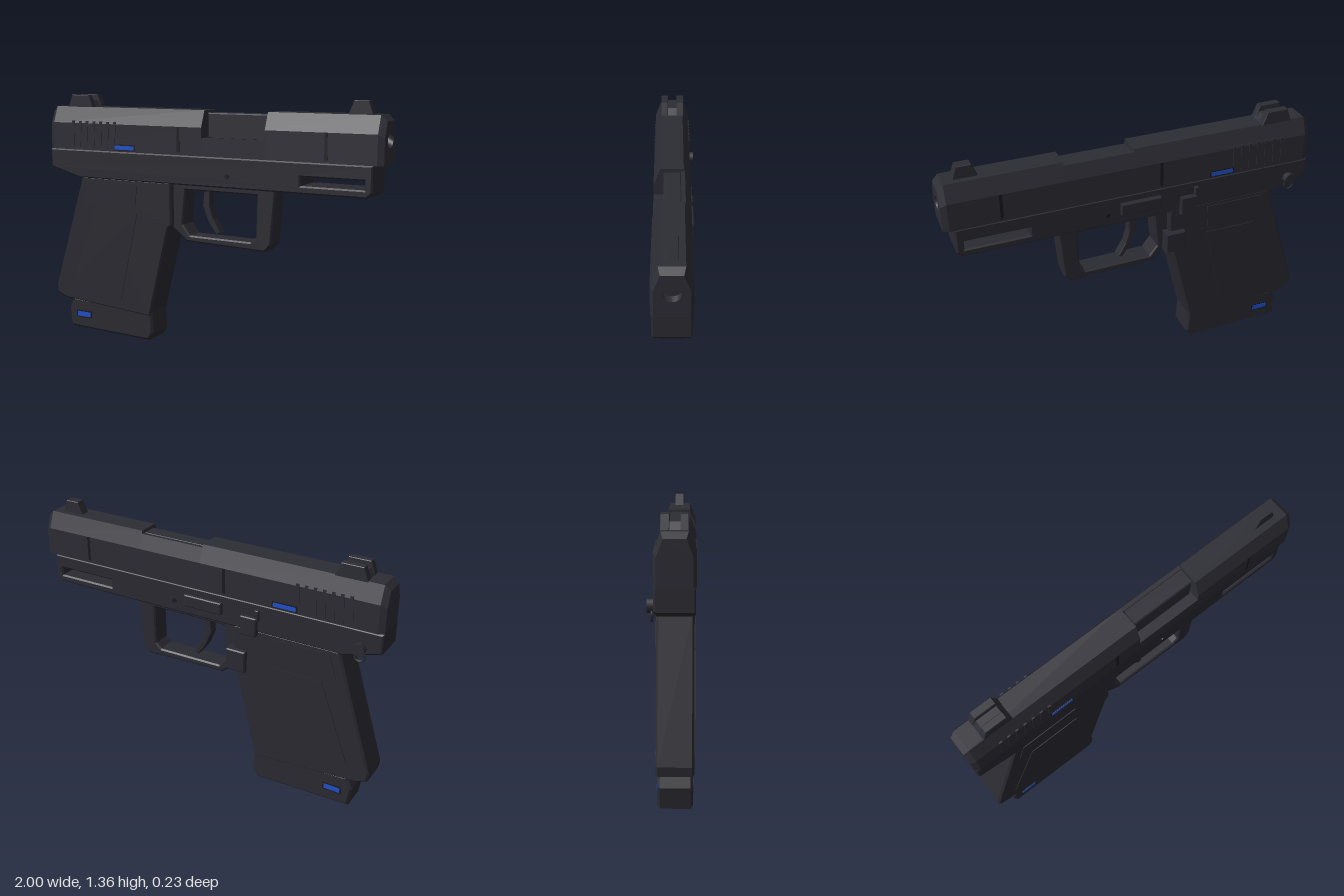
import * as THREE from 'three';

const mat = (name, color) => {
  const m = new THREE.MeshStandardMaterial({ color });
  m.name = name;
  return m;
};

export function createModel() {
  const root = new THREE.Group();
  root.name = 'pistol';
  const slideMat = mat('slide charcoal', 0x2c2c34);
  const frameMat = mat('frame charcoal', 0x2a2a31);
  const darkMat = mat('groove black', 0x1a1a1f);
  const blueMat = mat('accent blue', 0x2050c8);
  const ZC = 0.0125; // middle plane of the body

  const toShape = (pts) => new THREE.Shape(pts.map(([x, y]) => new THREE.Vector2(x, y)));
  const add = (name, geo, material) => {
    const mesh = new THREE.Mesh(geo, material);
    mesh.name = name;
    root.add(mesh);
    return mesh;
  };

  // Side outline (x, y) given thickness from z0 to z1, with chamfered rims
  function plate(name, pts, z0, z1, material, bevel = 0, hole = null) {
    const shape = toShape(pts);
    if (hole) shape.holes.push(toShape(hole));
    const geo = new THREE.ExtrudeGeometry(shape, {
      depth: z1 - z0 - 2 * bevel, bevelEnabled: bevel > 0, bevelSize: bevel,
      bevelThickness: bevel, bevelOffset: -bevel, bevelSegments: 1,
    });
    geo.translate(0, 0, z0 + bevel);
    return add(name, geo, material);
  }
  const rect = (x0, x1, y0, y1, slant = 0) =>
    [[x0, y0], [x1, y0], [x1 + slant, y1], [x0 + slant, y1]];

  // Thin detail on both flanks of a body with the given half width
  function flanks(name, pts, half, material, out = 0.004) {
    plate(name + 'Left', pts, ZC + half - 0.004, ZC + half + out, material);
    plate(name + 'Right', pts, ZC - half - out, ZC - half + 0.004, material);
  }

  // Cross-section (z from the middle plane, y) run along x; the end at taperX is drawn in
  function prism(name, pts, x0, x1, taperX = null, hole = null) {
    const shape = toShape(pts.map(([z, y]) => [-z, y]));
    if (hole) shape.holes.push(hole);
    const geo = new THREE.ExtrudeGeometry(shape, { depth: x1 - x0, bevelEnabled: false, curveSegments: 20 });
    geo.rotateY(Math.PI / 2).translate(x0, 0, 0);
    if (taperX !== null) {
      const p = geo.attributes.position;
      for (let i = 0; i < p.count; i++) {
        if (Math.abs(p.getX(i) - taperX) > 1e-4) continue;
        p.setY(i, 1.06 + (p.getY(i) - 1.06) * 0.88);
        p.setZ(i, p.getZ(i) * 0.85);
      }
      geo.computeVertexNormals();
    }
    geo.translate(0, 0, ZC);
    return add(name, geo, slideMat);
  }

  // Slide: sloped shoulders, chamfered ends, open ejection port, muzzle bore
  const full = [[-0.0955, 1.06], [-0.0955, 1.21], [-0.06, 1.3], [0.06, 1.3], [0.0955, 1.21], [0.0955, 1.06]];
  const port = [[-0.0955, 1.06], [-0.0955, 1.21], [-0.066, 1.285], [-0.045, 1.285],
    [-0.045, 1.155], [0.0955, 1.155], [0.0955, 1.06]];
  const bore = new THREE.Path().absellipse(0, 1.193, 0.048, 0.041, 0, Math.PI * 2);
  prism('slideRearEnd', full, -1, -0.97, -1);
  prism('slideRear', full, -0.97, 0.005);
  prism('slidePort', port, 0.005, 0.375);
  prism('slideFront', full, 0.375, 0.97);
  prism('muzzle', full, 0.97, 1, 1, bore);
  plate('barrelChamber', rect(0.015, 0.37, 1.15, 1.286), -0.034, 0.055, slideMat, 0.006);

  // Slide serrations, panel lines and blue inlays
  for (let i = 0; i < 7; i++) {
    const x = -0.845 + i * 0.047;
    flanks('serration' + i, rect(x, x + 0.016, i > 5 ? 1.105 : 1.075, 1.222, 0.008), 0.0945, slideMat);
  }
  for (const x of [-0.145, 0.7]) flanks('slideRib', rect(x, x + 0.016, 1.075, 1.21), 0.0945, darkMat, 0.002);
  flanks('slideInlayRim', rect(-0.552, -0.413, 1.066, 1.1), 0.0955, darkMat, 0.002);
  flanks('slideInlay', rect(-0.545, -0.42, 1.072, 1.094), 0.0955, blueMat, 0.005);

  // Rear sight with a notch, and front sight
  const rear = (y) => [[-0.89, 1.295], [-0.72, 1.295], [-0.75, y], [-0.865, y]];
  plate('rearSightBase', rear(1.335), -0.05, 0.07, slideMat);
  plate('rearSightEarLeft', rear(1.366), 0.035, 0.073, slideMat, 0.003);
  plate('rearSightEarRight', rear(1.366), -0.053, -0.012, slideMat, 0.003);
  plate('frontSight', [[0.79, 1.295], [0.92, 1.295], [0.895, 1.366], [0.82, 1.366]], -0.017, 0.037, slideMat, 0.003);

  // Frame with an accessory slot right through it
  plate('frame', [[-1, 1.06], [-1, 0.953], [-0.8, 0.9], [0.92, 0.9], [0.948, 0.925], [0.948, 1.06]],
    ZC - 0.0925, ZC + 0.0925, frameMat, 0.008, rect(0.572, 0.908, 0.94, 0.985));

  // Grip and its raised side panels
  plate('grip', [[-0.785, 0.91], [-0.99, 0.25], [-0.985, 0.205], [-0.92, 0.18], [-0.335, 0.142],
    [-0.21, 0.655], [-0.19, 0.67], [-0.19, 0.91]], ZC - 0.0875, ZC + 0.0875, frameMat, 0.01);
  flanks('upperGripPanel', [[-0.775, 0.755], [-0.42, 0.755], [-0.41, 0.885], [-0.735, 0.885]], 0.0875, frameMat);
  flanks('lowerGripPanel', [[-0.87, 0.27], [-0.53, 0.2], [-0.41, 0.72], [-0.7, 0.72]], 0.0875, frameMat);

  // Magazine base with blue inlays
  plate('magazineBase', [[-0.87, 0.19], [-0.905, 0.12], [-0.89, 0.015], [-0.35, 0.002], [-0.32, 0.045],
    [-0.328, 0.17]], ZC - 0.0825, ZC + 0.0825, frameMat, 0.012);
  flanks('magazineInlayRim', rect(-0.848, -0.742, 0.075, 0.117), 0.0825, darkMat, 0.002);
  flanks('magazineInlay', rect(-0.84, -0.75, 0.082, 0.11), 0.0825, blueMat, 0.004);

  // Trigger guard and trigger
  plate('triggerGuard', [[-0.2, 0.91], [-0.2, 0.66], [-0.11, 0.59], [0.36, 0.577], [0.395, 0.615], [0.42, 0.91]],
    -0.045, 0.07, frameMat, 0.008,
    [[-0.115, 0.87], [-0.135, 0.68], [-0.09, 0.623], [0.28, 0.62], [0.31, 0.65], [0.315, 0.87]]);
  plate('trigger', [[-0.016, 0.88], [0.02, 0.88], [0.016, 0.79], [0.037, 0.72], [0.08, 0.647],
    [0.058, 0.636], [0.01, 0.7], [-0.025, 0.786]], -0.015, 0.04, frameMat, 0.004);

  // Controls on the right flank
  plate('magazineRelease', rect(-0.275, -0.165, 0.655, 0.775), -0.103, -0.03, frameMat, 0.006);
  plate('slideStop', rect(-0.335, -0.245, 0.88, 0.985), -0.105, -0.07, frameMat, 0.005);
  plate('slideStopStem', rect(-0.345, -0.325, 0.97, 1.03), -0.1, -0.07, frameMat, 0.003);
  plate('takedownLever', rect(-0.13, 0.09, 0.955, 1.02), -0.103, -0.07, frameMat, 0.005);

  // Cross pin, rear knob and lanyard ring
  const pin = add('crossPin', new THREE.CylinderGeometry(0.012, 0.012, 0.2, 12), darkMat);
  pin.rotation.x = Math.PI / 2;
  pin.position.set(0.16, 0.963, ZC);
  const knob = add('rearKnob', new THREE.CylinderGeometry(0.033, 0.033, 0.035, 8), frameMat);
  knob.rotation.x = Math.PI / 2;
  knob.position.set(-0.89, 0.965, -0.095);
  const ring = add('lanyardRing', new THREE.TorusGeometry(0.027, 0.006, 6, 12), frameMat);
  ring.position.set(-0.893, 0.925, -0.09);

  return root;
}
